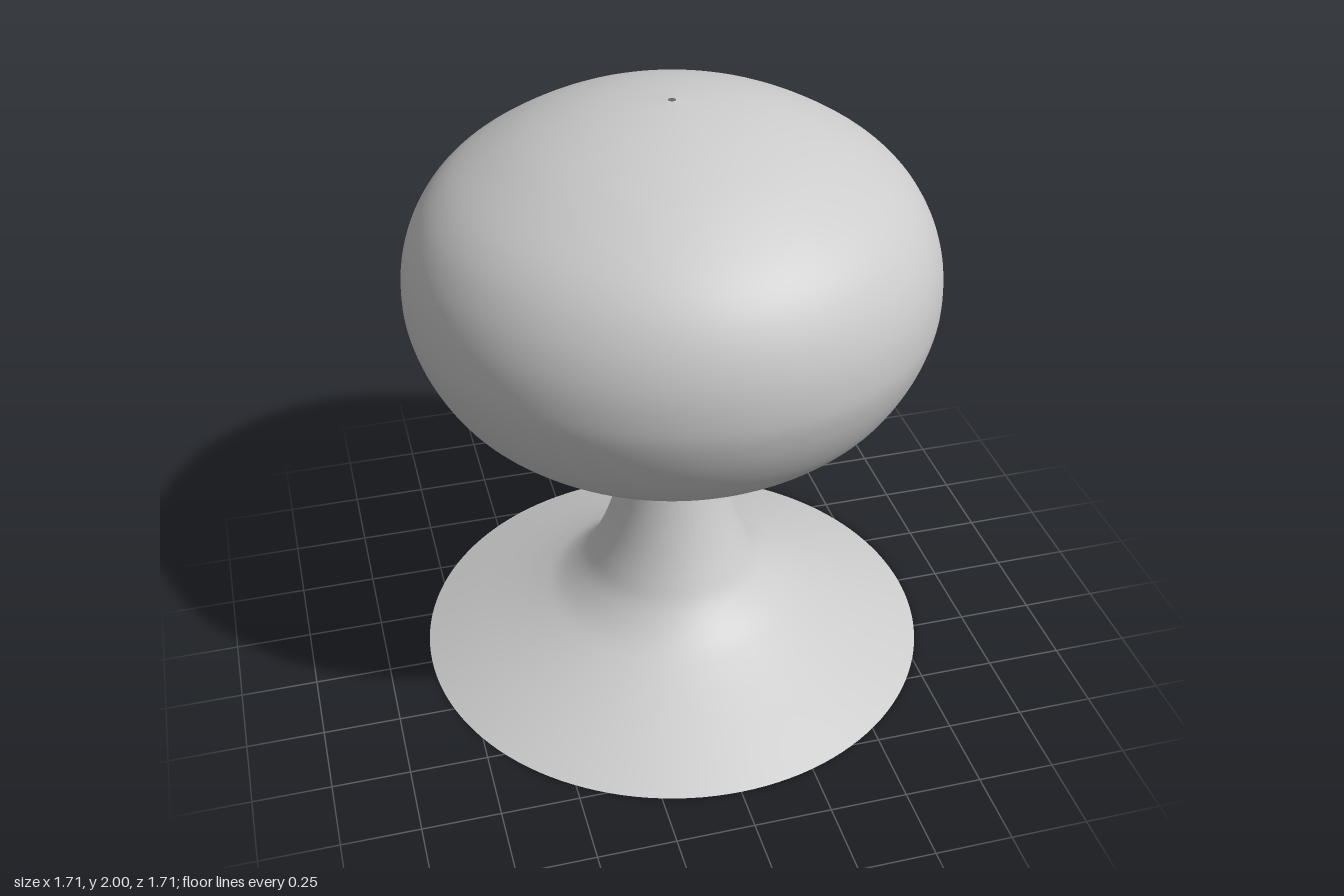
import * as THREE from 'three';

// Smooth profile (radius, height) running from the foot up to the crown
const PROFILE = [
  [0.855, 0], [0.73, 0.055], [0.6, 0.112], [0.48, 0.168], [0.385, 0.222], [0.305, 0.3],
  [0.26, 0.38], [0.22, 0.48], [0.185, 0.6], [0.162, 0.72], [0.165, 0.82],
  [0.19, 0.91], [0.23, 0.985], [0.29, 1.05], [0.365, 1.08], [0.44, 1.06],
  [0.5, 1.005], [0.555, 0.97], [0.615, 0.99], [0.72, 1.085], [0.79, 1.2],
  [0.83, 1.32], [0.838, 1.42], [0.826, 1.52], [0.79, 1.62], [0.727, 1.715],
  [0.63, 1.8], [0.47, 1.893], [0.3, 1.956], [0.15, 1.987], [0.012, 2.0],
];

export function createModel() {
  const model = new THREE.Group();
  model.name = 'mushroomLamp';

  const curve = new THREE.SplineCurve(PROFILE.map(([r, y]) => new THREE.Vector2(r, y)));
  const points = curve.getPoints(150);

  // One continuous thin shell: hollow foot, stem, recessed underside and cap
  const shell = new THREE.Mesh(
    new THREE.LatheGeometry(points, 128),
    new THREE.MeshStandardMaterial({ color: 0xcccccc, side: THREE.DoubleSide }),
  );
  shell.name = 'footStemAndCap';
  model.add(shell);

  return model;
}
